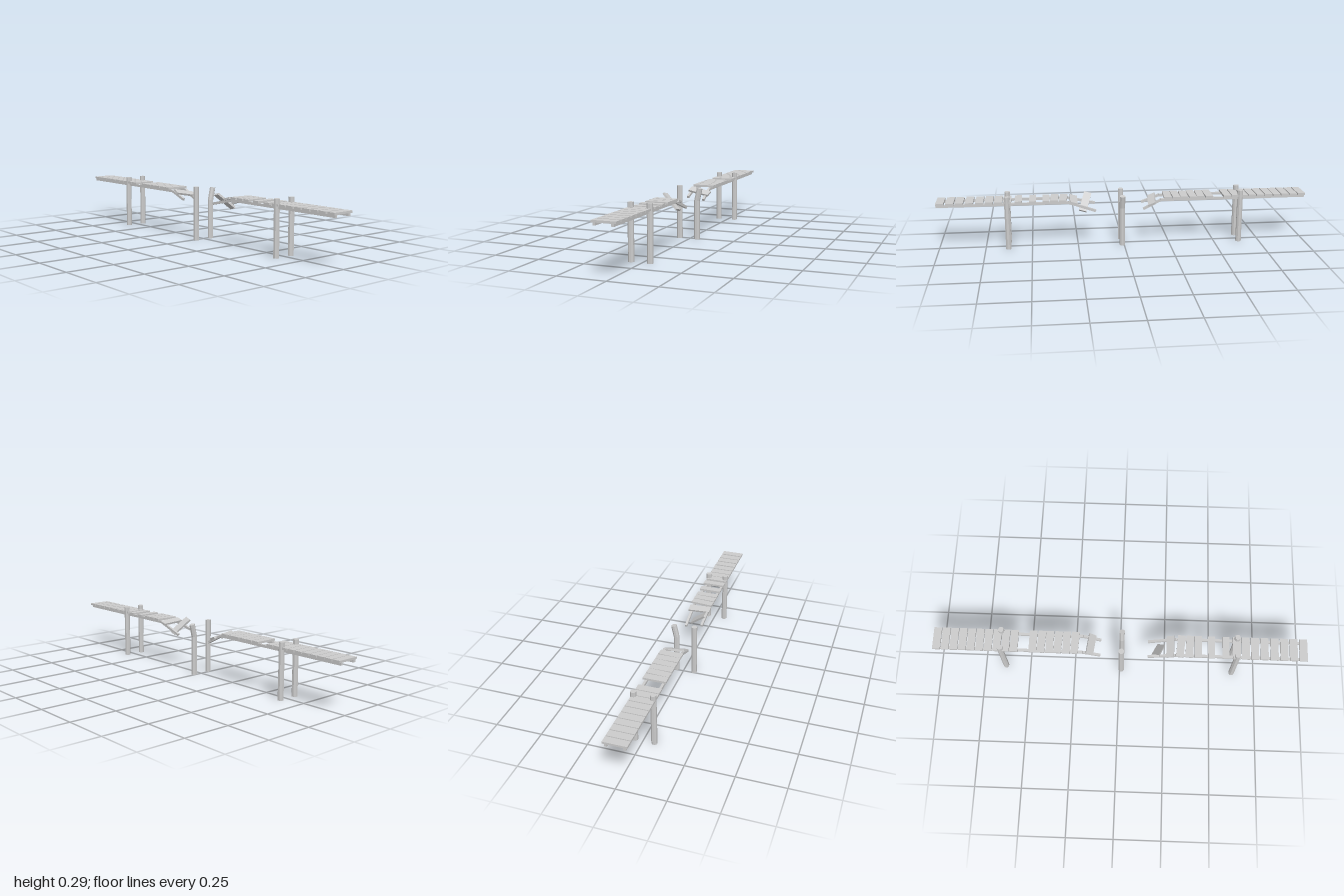
import * as THREE from 'three';

const wood = new THREE.MeshStandardMaterial({ color: 0xcccccc, flatShading: true });
const POST_X = [-0.059, 0.042], RAIL_X = [-0.056, 0.035];
const POST_R = 0.0155, POST_H = 0.292;
const DECK_X = -0.009, DECK_Y = 0.2615, RAIL_Y = 0.249;

function add(parent, name, geometry) {
  const mesh = new THREE.Mesh(geometry, wood);
  mesh.name = name;
  parent.add(mesh);
  return mesh;
}

// Straight octagonal post standing on the ground
function post(parent, x, z, height = POST_H) {
  const geo = new THREE.CylinderGeometry(POST_R, POST_R, height, 8).rotateY(Math.PI / 8);
  add(parent, 'post', geo).position.set(x, height / 2, z);
}

// Post whose upper part leans outwards: rows above the bend are sheared
function bentPost(parent, x, z) {
  const bendY = 0.213, lean = 0.22;
  const geo = new THREE.CylinderGeometry(POST_R, POST_R, 0.281, 8, 2).rotateY(Math.PI / 8);
  geo.translate(0, 0.1405, 0);
  const p = geo.attributes.position;
  for (let i = 0; i < p.count; i++) {
    const y = p.getY(i), px = p.getX(i);
    if (y > 0.2) p.setXY(i, px + 0.068 * lean, y - px * lean);
    else if (y > 0.1) p.setY(i, bendY - px * lean * 0.5);
  }
  geo.computeVertexNormals();
  add(parent, 'bentPost', geo).position.set(x, 0, z);
}

// Square beam between two points
function beam(parent, name, a, b) {
  const from = new THREE.Vector3(...a), to = new THREE.Vector3(...b);
  const mesh = add(parent, name, new THREE.BoxGeometry(0.013, 0.013, from.distanceTo(to)));
  mesh.position.copy(from).lerp(to, 0.5);
  mesh.lookAt(to);
}

// Deck board, optionally shifted and rotated
function plank(parent, z, { x = DECK_X, y = DECK_Y, width = 0.041, rot = [0, 0, 0], name = 'plank' } = {}) {
  const mesh = add(parent, name, new THREE.BoxGeometry(0.122, 0.011, width));
  mesh.position.set(x, y, z);
  mesh.rotation.set(...rot);
}

// Two rails: a level run, then a broken end that sags on each side
function rails(parent, outerZ, bendZ, tipZ, tipY) {
  RAIL_X.forEach((x, i) => {
    beam(parent, 'rail', [x, RAIL_Y, outerZ], [x, RAIL_Y, bendZ]);
    beam(parent, 'brokenRailEnd', [x, RAIL_Y, bendZ], [x, tipY[i], tipZ]);
  });
}

export function createModel() {
  const model = new THREE.Group();
  model.name = 'brokenBridge';

  // Support posts
  const posts = new THREE.Group();
  posts.name = 'posts';
  for (const z of [0.627, -0.637]) POST_X.forEach((x) => post(posts, x, z));
  post(posts, POST_X[0], 0.01);
  bentPost(posts, POST_X[1], 0.01);

  // Front half of the walkway
  const front = new THREE.Group();
  front.name = 'frontWalkway';
  rails(front, 0.998, 0.3, 0.153, [0.216, 0.198]);
  for (const z of [0.979, 0.927, 0.877, 0.825, 0.772, 0.721, 0.672, 0.625, 0.566, 0.49, 0.419])
    plank(front, z, { width: z > 0.6 ? 0.042 : 0.037 });
  plank(front, 0.374, { rot: [0, -0.05, 0] });
  plank(front, 0.326, { rot: [0, -0.09, 0] });
  plank(front, 0.271, { y: 0.251, rot: [-0.28, 0, -0.06] });
  plank(front, 0.207, { x: -0.025, y: 0.232, rot: [-0.25, -0.15, -0.75], name: 'fallenPlank' });

  // Back half of the walkway
  const back = new THREE.Group();
  back.name = 'backWalkway';
  rails(back, -0.998, -0.2, -0.104, [0.212, 0.2]);
  for (let i = 0; i < 10; i++) plank(back, -0.979 + i * 0.046);
  [-0.465, -0.42, -0.375, -0.33, -0.285, -0.24].forEach((z, i) =>
    plank(back, z, { rot: [0, i % 2 ? -0.05 : 0, 0] }));
  plank(back, -0.155, { x: -0.006, y: 0.239, rot: [0.42, -0.17, -0.12], name: 'loosePlank' });

  model.add(posts, front, back);
  return model;
}
